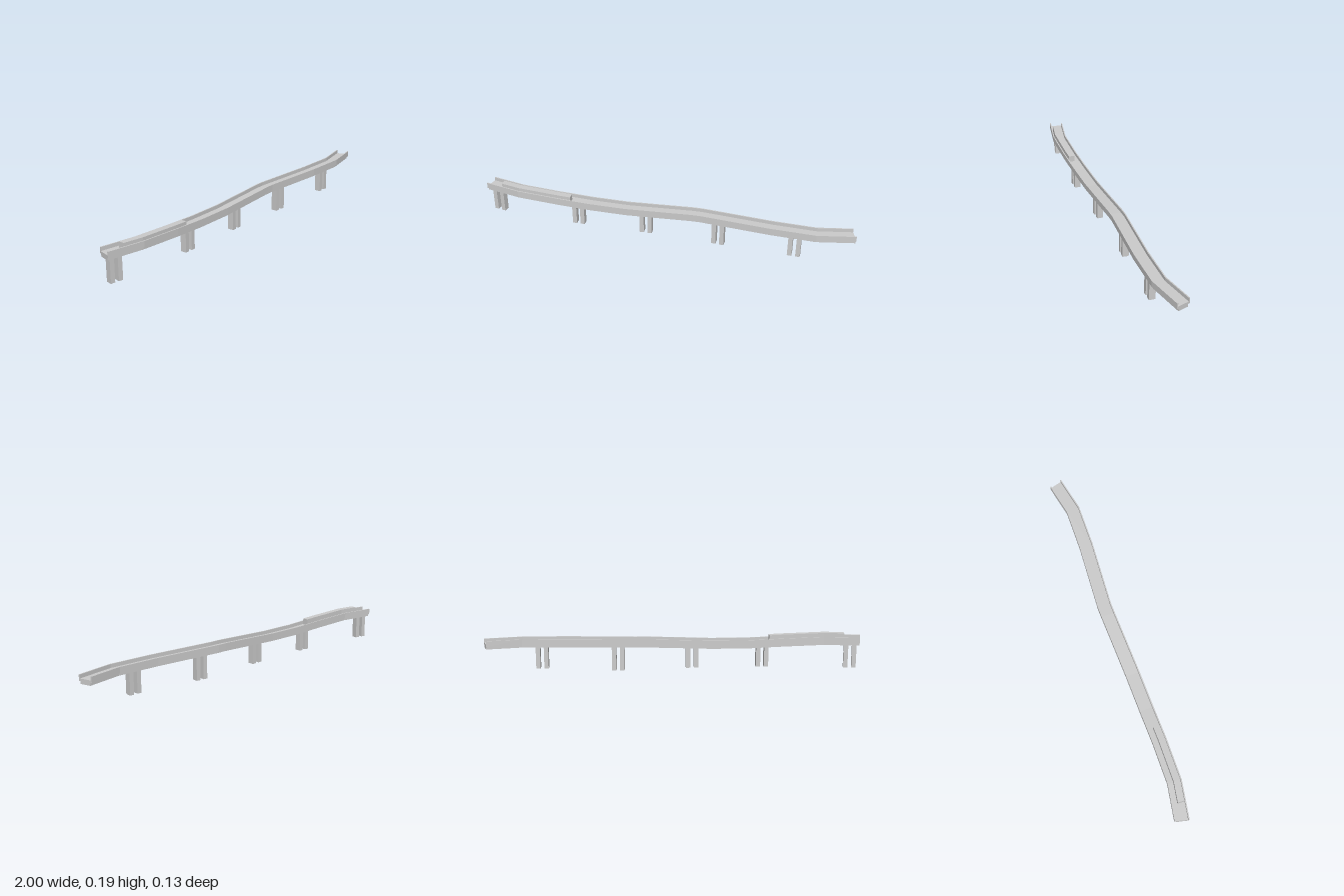
import * as THREE from 'three';

// Plan and height of the track: x, z of the centre line, y of the underside
const path = [
  [-0.988, -0.006, 0.13], [-0.8, 0.024, 0.128], [-0.58, 0.024, 0.12], [-0.4, 0.018, 0.113],
  [-0.2, 0.012, 0.113], [0, 0.002, 0.121], [0.15, -0.006, 0.127], [0.2, -0.008, 0.127],
  [0.57, 0.009, 0.127], [0.8, 0.008, 0.127], [0.987, -0.034, 0.127],
];

const material = new THREE.MeshStandardMaterial({ color: 0xcccccc, flatShading: true });

// Point on the track centre line at a given x
function pointAt(x) {
  let i = 0;
  while (i < path.length - 2 && x > path[i + 1][0]) i++;
  const t = (x - path[i][0]) / (path[i + 1][0] - path[i][0]);
  return path[i].map((v, k) => v + (path[i + 1][k] - v) * t);
}

// Sweep a counter-clockwise (sideways, height) profile along stations, with mitred joints
function sweep(name, profile, stations, squareEnds) {
  const n = stations.length;
  const seg = [];
  for (let i = 0; i < n - 1; i++) {
    seg.push(Math.atan2(stations[i + 1][1] - stations[i][1], stations[i + 1][0] - stations[i][0]));
  }
  const angles = stations.map((s, i) => (i > 0 && i < n - 1 ? (seg[i - 1] + seg[i]) / 2 : 0));
  angles[0] = squareEnds ? 0 : 2 * seg[0] - angles[1];
  angles[n - 1] = squareEnds ? 0 : 2 * seg[n - 2] - angles[n - 2];

  const positions = [];
  const index = [];
  const m = profile.length;
  stations.forEach(([x, z, y], i) => {
    for (const [w, h] of profile) {
      positions.push(x - Math.sin(angles[i]) * w, y + h, z + Math.cos(angles[i]) * w);
    }
  });
  for (let i = 0; i < n - 1; i++) {
    for (let j = 0; j < m; j++) {
      const a = i * m + j;
      const b = i * m + (j + 1) % m;
      index.push(a, a + m, b + m, a, b + m, b);
    }
  }
  // End caps
  const end = (n - 1) * m;
  const points = profile.map(([w, h]) => new THREE.Vector2(w, h));
  for (const [a, b, c] of THREE.ShapeUtils.triangulateShape(points, [])) {
    index.push(a, b, c, end + a, end + c, end + b);
  }
  const geometry = new THREE.BufferGeometry();
  geometry.setAttribute('position', new THREE.Float32BufferAttribute(positions, 3));
  geometry.setIndex(index);
  const flat = geometry.toNonIndexed();
  flat.computeVertexNormals();
  const mesh = new THREE.Mesh(flat, material);
  mesh.name = name;
  return mesh;
}

export function createModel() {
  const group = new THREE.Group();
  group.name = 'elevatedTrack';

  // Trough with thin side walls over a narrower girder
  const half = [[0.028, 0], [0.028, 0.014], [0.037, 0.014], [0.037, 0.045], [0.031, 0.045], [0.031, 0.026]];
  const trough = [...half, ...half.map(([w, h]) => [-w, h]).reverse()];
  group.add(sweep('trackDeck', trough, path, false));

  // Long carriage running on the front half of the deck
  const carriage = [[-0.006, 0.025], [0.027, 0.025], [0.027, 0.06], [-0.006, 0.06]];
  group.add(sweep('carriage', carriage, [-0.905, -0.8, -0.58, -0.508].map(pointAt), true));

  // Paired piers: x of the pair, height of the foot
  const piers = [[-0.939, 0.006], [-0.471, 0.009], [-0.097, 0.009], [0.294, 0], [0.696, 0.01]];
  for (const [x, foot] of piers) {
    const [, z, under] = pointAt(x);
    const a = pointAt(x - 0.03);
    const b = pointAt(x + 0.03);
    const pair = new THREE.Group();
    pair.name = 'pierPair';
    pair.position.set(x, 0, z);
    pair.rotation.y = -Math.atan2(b[1] - a[1], b[0] - a[0]);
    const height = under + 0.006 - foot;
    for (const side of [-1, 1]) {
      const pier = new THREE.Mesh(new THREE.BoxGeometry(0.023, height, 0.033), material);
      pier.name = 'pier';
      pier.position.set(side * 0.0215, foot + height / 2, 0);
      pair.add(pier);
    }
    group.add(pair);
  }
  return group;
}
